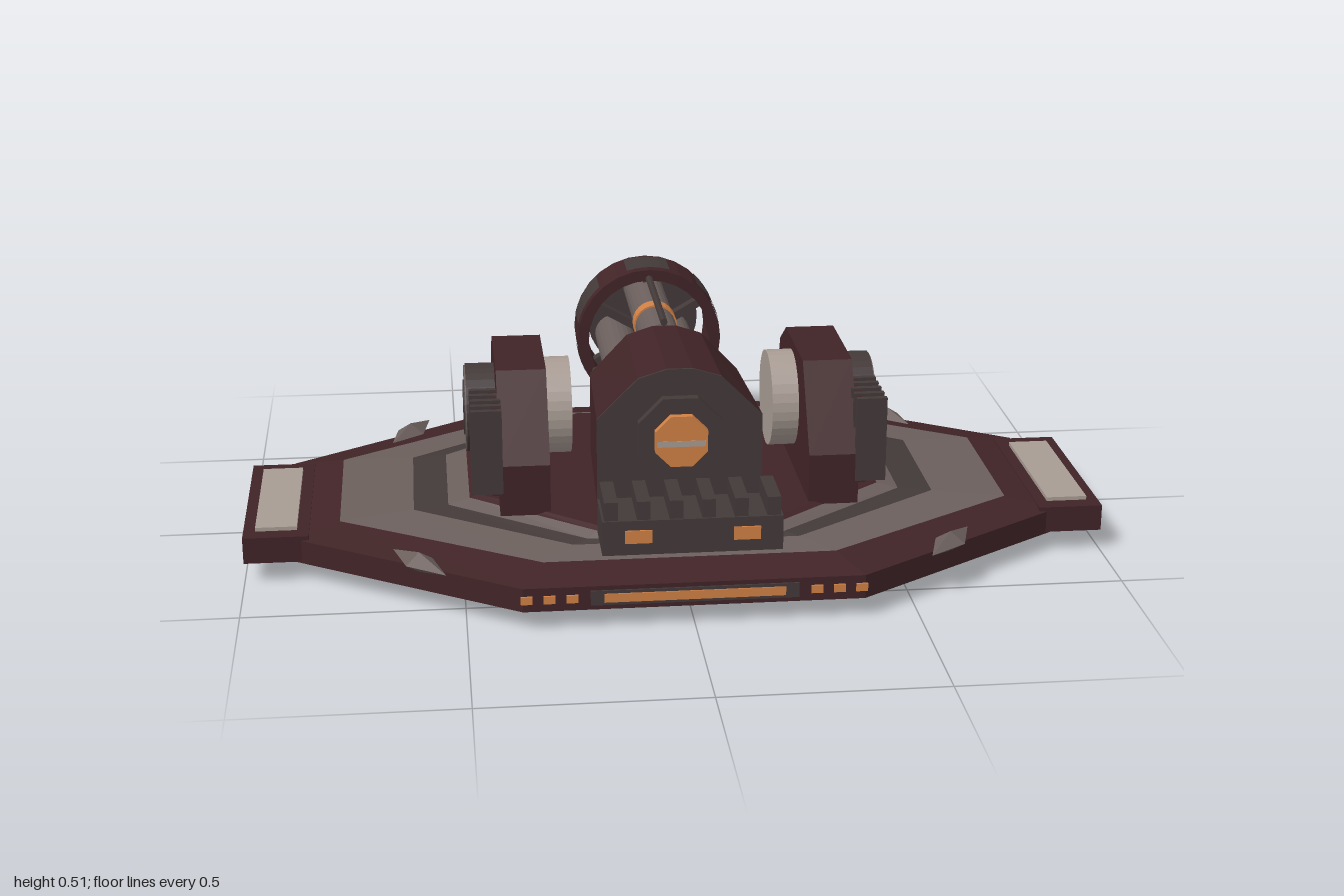
import * as THREE from 'three';

const mat = (name, color) => {
  const m = new THREE.MeshStandardMaterial({ color, flatShading: true, side: THREE.DoubleSide });
  m.name = name;
  return m;
};

export function createModel() {
  const red = mat('dark red armour', 0x412427);
  const dark = mat('dark grey metal', 0x433939);
  const grey = mat('warm grey plating', 0x6b5f5c);
  const pale = mat('pale grey panel', 0xa89c94);
  const orange = mat('orange glow', 0xd08045);
  const smoothGrey = grey, root = new THREE.Group();

  const add = (name, geo, m, x = 0, y = 0, z = 0, parent = root) => {
    const mesh = new THREE.Mesh(geo, m);
    mesh.name = name;
    mesh.position.set(x, y, z);
    parent.add(mesh);
    return mesh;
  };
  const box = (name, m, w, h, d, x, y, z) => add(name, new THREE.BoxGeometry(w, h, d), m, x, y, z);
  const cylX = (name, m, r, len, x, y, z, n = 32) =>
    add(name, new THREE.CylinderGeometry(r, r, len, n).rotateZ(Math.PI / 2), m, x, y, z);
  // cylinder along z between two depths
  const cylZ = (name, m, r, z0, z1, x, y, n = 24) =>
    add(name, new THREE.CylinderGeometry(r, r, Math.abs(z1 - z0), n).rotateX(Math.PI / 2), m, x, y, (z0 + z1) / 2);

  // Stretched octagon cross-sections [half width, half depth, y] joined upwards
  const octLoft = (rings, bottom = false, top = false) => {
    const pos = [];
    const loops = rings.map(([hx, hz, y]) => {
      const cx = hx * 0.42, cz = hz * 0.41;
      return [[hx, cz], [cx, hz], [-cx, hz], [-hx, cz], [-hx, -cz], [-cx, -hz], [cx, -hz], [hx, -cz]]
        .map(([x, z]) => [x, y, z]);
    });
    const tri = (...p) => p.forEach((v) => pos.push(...v));
    for (let i = 0; i < 8; i++) {
      const j = (i + 1) % 8;
      for (let k = 0; k + 1 < loops.length; k++) {
        const a = loops[k], b = loops[k + 1];
        tri(a[i], b[i], b[j]);
        tri(a[i], b[j], a[j]);
      }
      const last = loops[loops.length - 1];
      if (bottom) tri([0, rings[0][2], 0], loops[0][i], loops[0][j]);
      if (top) tri([0, last[0][1], 0], last[j], last[i]);
    }
    const g = new THREE.BufferGeometry();
    g.setAttribute('position', new THREE.Float32BufferAttribute(pos, 3));
    g.computeVertexNormals();
    return g;
  };
  const extrude = (pts, depth) => new THREE.ExtrudeGeometry(
    new THREE.Shape(pts.map(([x, y]) => new THREE.Vector2(x, y))), { depth, bevelEnabled: false });

  // Base: keel, rim and stepped deck bands
  const cz = 0.0475;
  add('keel', octLoft([[0.635, 0.4, 0], [0.665, 0.43, 0.046]], true), dark, 0, 0, cz);
  add('deckRim', octLoft([[0.9, 0.5875, 0.045], [0.9, 0.5875, 0.1], [0.78, 0.49, 0.12]], true), red, 0, 0, cz);
  add('outerDeckBand', octLoft([[0.78, 0.49, 0.12], [0.61, 0.42, 0.13]]), grey, 0, 0, cz);
  add('darkDeckBand', octLoft([[0.61, 0.42, 0.13], [0.53, 0.405, 0.137]]), dark, 0, 0, cz);
  add('innerDeckBand', octLoft([[0.53, 0.405, 0.137], [0.48, 0.39, 0.15]]), grey, 0, 0, cz);
  add('turretPlinth', octLoft([[0.48, 0.39, 0.15], [0.46, 0.38, 0.157]], false, true), red, 0, 0, cz);

  // Front light strip
  box('lightSurround', dark, 0.46, 0.034, 0.006, 0, 0.073, 0.636);
  box('lightStrip', orange, 0.4, 0.02, 0.008, 0, 0.073, 0.638);

  for (const s of [-1, 1]) {
    // Wing blocks with pale top panels
    box('wingBlock', red, 0.15, 0.062, 0.47, s * 0.925, 0.08, 0.075);
    box('wingTopPanel', pale, 0.095, 0.009, 0.38, s * 0.925, 0.1155, 0.08);
    box('wingSidePanel', grey, 0.004, 0.044, 0.345, s * 0.999, 0.076, 0.0825);
    for (const x of [0.27, 0.32, 0.37]) box('smallLight', orange, 0.026, 0.018, 0.006, s * x, 0.073, 0.637);

    // Deck edge cleats
    for (const [x, z, turn] of [[0.615, -0.37, 0.5], [0.6, 0.48, -0.62]]) {
      const cleat = add('edgeCleat', new THREE.OctahedronGeometry(1), grey, s * x, 0.108, z);
      cleat.scale.set(0.036, 0.024, 0.1);
      cleat.rotation.y = s * turn;
    }

    // Side pod
    const pod = extrude([[0.33, 0.15], [0.33, 0.27], [0.21, 0.46], [-0.05, 0.46],
      [-0.14, 0.405], [-0.195, 0.26], [-0.15, 0.15]], 0.115).rotateY(-Math.PI / 2);
    add('sidePod', pod, red, s * 0.355 + 0.0575, 0, 0);
    cylX('innerDrum', pale, 0.114, 0.065, s * 0.268, 0.32, 0.055);
    cylX('outerHub', dark, 0.104, 0.07, s * 0.445, 0.32, 0.055);
    cylX('hubRing', grey, 0.1, 0.004, s * 0.481, 0.32, 0.055);
    cylX('hubCap', dark, 0.065, 0.006, s * 0.483, 0.32, 0.055);
    box('finBacking', red, 0.02, 0.2, 0.16, s * 0.42, 0.3, 0.25);
    for (let i = 0; i < 5; i++) {
      box('coolingFin', dark, 0.07, 0.2, 0.015, s * 0.44, 0.305, 0.178 + i * 0.037);
    }
    for (const x of [0.325, 0.355, 0.385]) {
      const vent = box('rearVentLight', orange, 0.018, 0.025, 0.006, s * x, 0.285, -0.187);
      vent.rotation.x = 0.35;
    }
    box('frontBoxLight', orange, 0.06, 0.03, 0.006, s * 0.12, 0.193, 0.588);
  }

  // Central gun housing, narrowing slightly to the rear
  const section = [[-0.19, 0.15], [0.19, 0.15], [0.19, 0.37], [0.095, 0.465], [0.03, 0.485], [-0.03, 0.485],
    [-0.095, 0.465], [-0.19, 0.37]];
  const hull = extrude(section, 0.36).translate(0, 0, -0.05);
  const p = hull.attributes.position;
  for (let i = 0; i < p.count; i++) {
    if (p.getZ(i) < 0) p.setXY(i, p.getX(i) * 0.94, p.getY(i) - (p.getY(i) > 0.3 ? 0.012 : 0));
  }
  hull.computeVertexNormals();
  add('gunHousing', hull, red);
  add('housingFacePlate', extrude(section, 0.006), dark, 0, 0, 0.31);
  const octZ = (r, len) => new THREE.CylinderGeometry(r, r, len, 8).rotateY(Math.PI / 8).rotateX(Math.PI / 2);
  add('reactorFrame', octZ(0.105, 0.026), dark, 0, 0.325, 0.326);
  add('reactorLens', octZ(0.065, 0.022), orange, 0, 0.325, 0.346);
  box('reactorBar', pale, 0.11, 0.014, 0.004, 0, 0.32, 0.356);

  // Finned box in front of the housing
  box('frontBox', dark, 0.4, 0.08, 0.14, 0, 0.19, 0.517);
  for (let i = 0; i < 6; i++) box('frontBoxFin', dark, 0.03, 0.045, 0.13, -0.18 + i * 0.072, 0.25, 0.517);

  // Rotary barrels, guide rods and axle
  const gy = 0.325;
  cylZ('barrelMount', dark, 0.125, -0.04, -0.11, 0, gy);
  cylZ('axle', dark, 0.03, -0.1, -0.61, 0, gy, 12);
  for (let i = 0; i < 3; i++) {
    const a = Math.PI / 2 + i * Math.PI * 2 / 3, c = Math.cos(a), q = Math.sin(a);
    const x = c * 0.086, y = gy + q * 0.086;
    cylZ('barrel', smoothGrey, 0.05, -0.1, -0.648, x, y);
    cylZ('barrelBand', orange, 0.054, -0.245, -0.285, x, y);
    cylZ('muzzleGlow', orange, 0.036, -0.646, -0.65, x, y);
    cylZ('muzzleBore', dark, 0.02, -0.647, -0.652, x, y, 12);
    cylZ('guideRod', dark, 0.009, -0.04, -0.42, c * 0.16, gy + q * 0.16, 8);
  }
  cylZ('muzzleDisc', dark, 0.145, -0.605, -0.635, 0, gy, 32);

  // Hollow collar with inset plates
  const ring = [[0.155, -0.0675], [0.183, -0.0675], [0.183, 0.0675], [0.155, 0.0675], [0.155, -0.0675]];
  add('barrelCollar', new THREE.LatheGeometry(ring.map(([r, h]) => new THREE.Vector2(r, h)), 28)
    .rotateX(Math.PI / 2), red, 0, gy, -0.4775);
  for (let i = 0; i < 6; i++) {
    const plate = new THREE.CylinderGeometry(0.185, 0.185, 0.1, 5, 1, true, i * Math.PI / 3 - 0.3, 0.6);
    add('collarPlate', plate.rotateX(Math.PI / 2), dark, 0, gy, -0.48);
  }
  for (let i = 0; i < 3; i++) {
    const spoke = box('collarSpoke', dark, 0.32, 0.02, 0.03, 0, gy, -0.4775);
    spoke.rotation.z = i * Math.PI / 3 + Math.PI / 6;
  }
  return root;
}
